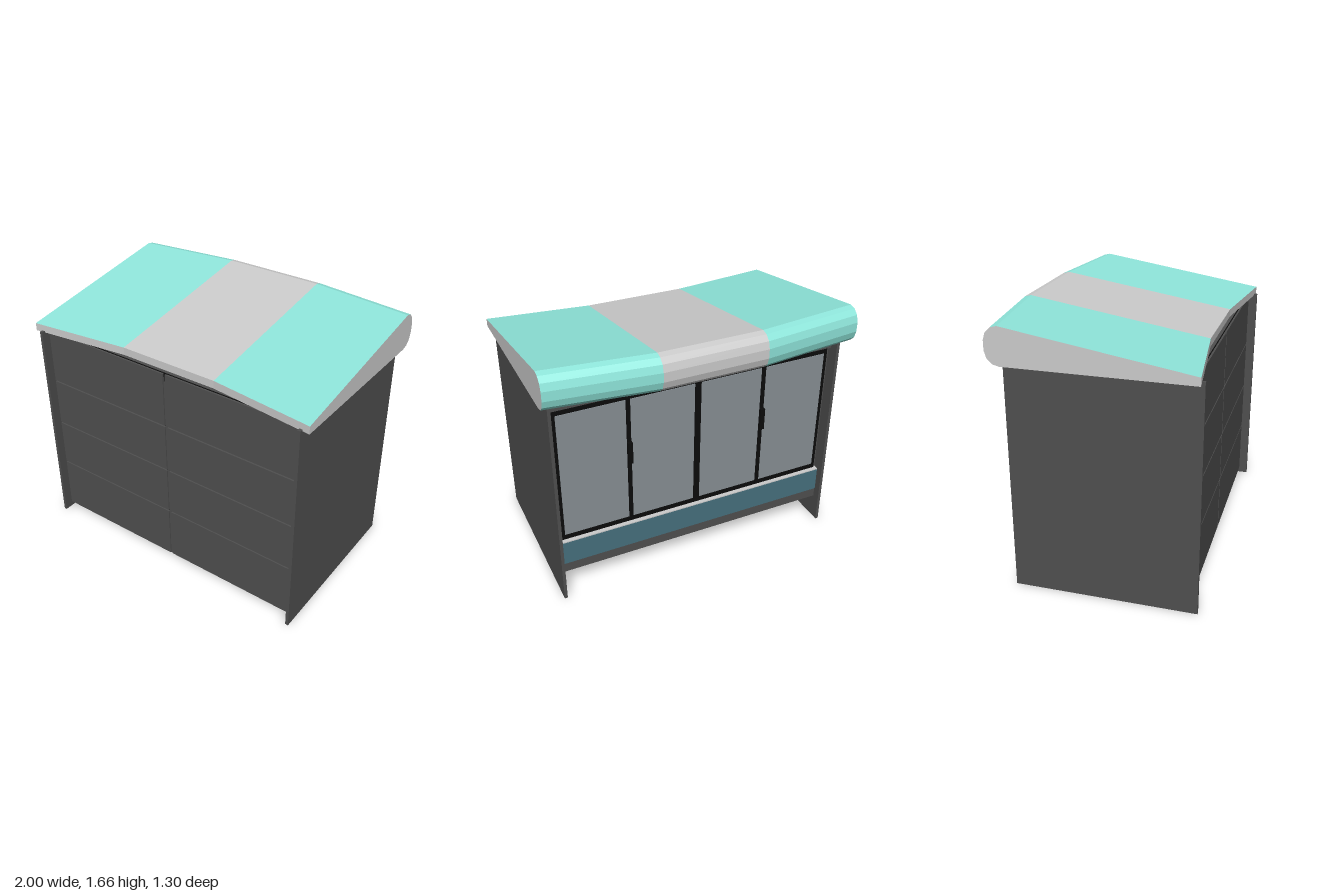
import * as THREE from 'three';

const DARK = 0x4f4f4f, BLACK = 0x0c0c0c, GREY = 0xcccccc;
const ROOF_TEAL = 0x8fe6db, BAND_TEAL = 0x46707e, GLASS = 0x878f94;

const paint = (color) => new THREE.MeshStandardMaterial({ color, flatShading: true });

function add(parent, name, geometry, color) {
  const mesh = new THREE.Mesh(geometry, paint(color));
  mesh.name = name;
  parent.add(mesh);
  return mesh;
}

// Box given by its limits on each axis
function box(parent, name, color, [x0, x1], [y0, y1], [z0, z1]) {
  const mesh = add(parent, name, new THREE.BoxGeometry(x1 - x0, y1 - y0, z1 - z0), color);
  mesh.position.set((x0 + x1) / 2, (y0 + y1) / 2, (z0 + z1) / 2);
}

// Side profile of [z, y] points swept across the width
function sweep(parent, name, color, profile, halfWidth) {
  const shape = new THREE.Shape(profile.map(([z, y]) => new THREE.Vector2(z, y)));
  const geometry = new THREE.ExtrudeGeometry(shape, { depth: 2 * halfWidth, bevelEnabled: false });
  geometry.rotateY(-Math.PI / 2).translate(halfWidth, 0, 0);
  add(parent, name, geometry, color);
}

// Roof: one profile, swept along a bent line in three stretches
function buildRoof() {
  const roof = new THREE.Group();
  roof.name = 'roof';
  const profile = [[0.635, 1.43], [0.635, 1.48], [-0.485, 1.66], [-0.525, 1.65], [-0.556, 1.62],
    [-0.57, 1.575], [-0.57, 1.515], [-0.556, 1.47], [-0.525, 1.44], [-0.485, 1.43]];
  const stations = [[-1, 0], [-0.333, -0.08], [0.333, -0.08], [1, 0]];
  const point = (s, i) => {
    const [z, y] = profile[i % profile.length];
    return [stations[s][0], y, z + stations[s][1]];
  };
  const patch = (name, color, triangles) => {
    const geometry = new THREE.BufferGeometry();
    geometry.setAttribute('position', new THREE.Float32BufferAttribute(triangles.flat(2), 3));
    geometry.computeVertexNormals();
    add(roof, name, geometry, color);
  };
  const quads = (s, first, last) => {
    const out = [];
    for (let i = first; i < last; i++) {
      const [a, b, c, d] = [point(s, i), point(s + 1, i), point(s + 1, i + 1), point(s, i + 1)];
      out.push([a, b, c], [a, c, d]);
    }
    return out;
  };
  for (let s = 0; s < 3; s++) {
    patch('roofFrontLip', GREY, quads(s, 0, 1));
    patch('roofStripe', s === 1 ? GREY : ROOF_TEAL, quads(s, 1, profile.length));
  }
  const right = [], left = [];
  for (let i = 1; i < profile.length - 1; i++) {
    right.push([point(0, 0), point(0, i), point(0, i + 1)]);
    left.push([point(3, 0), point(3, i + 1), point(3, i)]);
  }
  patch('roofEndRight', GREY, right);
  patch('roofEndLeft', GREY, left);
  return roof;
}

// Four glazed doors with black frames and handles
function buildDoors() {
  const doors = new THREE.Group();
  doors.name = 'doors';
  box(doors, 'doorBacking', BLACK, [-0.92, 0.92], [0.41, 1.35], [-0.41, -0.395]);
  for (let i = 0; i < 4; i++) {
    const x = (i - 1.5) * 0.455;
    box(doors, 'doorGlass', GLASS, [x - 0.213, x + 0.213], [0.45, 1.31], [-0.414, -0.4]);
  }
  for (const x of [-0.455, 0, 0.455]) {
    const w = x === 0 ? 0.02 : 0.012;
    box(doors, 'doorStile', BLACK, [x - w, x + w], [0.43, 1.33], [-0.42, -0.4]);
  }
  for (const x of [-0.455, 0.455]) {
    box(doors, 'doorHandle', BLACK, [x - 0.015, x + 0.015], [0.87, 1.02], [-0.438, -0.415]);
  }
  return doors;
}

export function createModel() {
  const model = new THREE.Group();
  model.name = 'cabinet';

  // Carcass with an undercut base at the back
  sweep(model, 'body', DARK, [[0.575, 0.04], [0.575, 1.43], [-0.4, 1.43], [-0.4, 0.4],
    [-0.43, 0.4], [-0.43, 0.17], [-0.275, 0.05], [-0.26, 0.04]], 0.935);
  for (const side of [-1, 1]) {
    const x = side * 0.945;
    box(model, 'sidePanel', DARK, [x - 0.01, x + 0.01], [0, 1.44], [-0.485, 0.65]);
  }

  // Front cladding, two columns of four panels over a dark backing
  box(model, 'frontBacking', BLACK, [-0.934, 0.934], [0.045, 1.428], [0.57, 0.58]);
  const rows = [0.035, 0.4, 0.73, 1.06, 1.43];
  for (let r = 0; r < 4; r++) {
    const span = [rows[r] + (r ? 0.005 : 0), rows[r + 1] - 0.005];
    box(model, 'frontPanel', DARK, [-0.935, -0.008], span, [0.575, 0.592]);
    box(model, 'frontPanel', DARK, [0.008, 0.935], span, [0.575, 0.592]);
  }
  box(model, 'frontCentreStrip', DARK, [-0.005, 0.005], [0.035, 1.37], [0.575, 0.588]);

  // Back: coloured bands, sill and header around the doors
  box(model, 'backBand', BAND_TEAL, [-0.934, 0.934], [0.24, 0.405], [-0.437, -0.4]);
  box(model, 'sill', GREY, [-0.934, 0.934], [0.405, 0.412], [-0.437, -0.4]);
  sweep(model, 'lowerBand', BAND_TEAL,
    [[-0.358, 0.107], [-0.278, 0.047], [-0.27, 0.06], [-0.35, 0.12]], 0.934);
  box(model, 'header', DARK, [-0.934, 0.934], [1.35, 1.43], [-0.425, -0.39]);
  model.add(buildDoors());

  model.add(buildRoof());
  return model;
}
